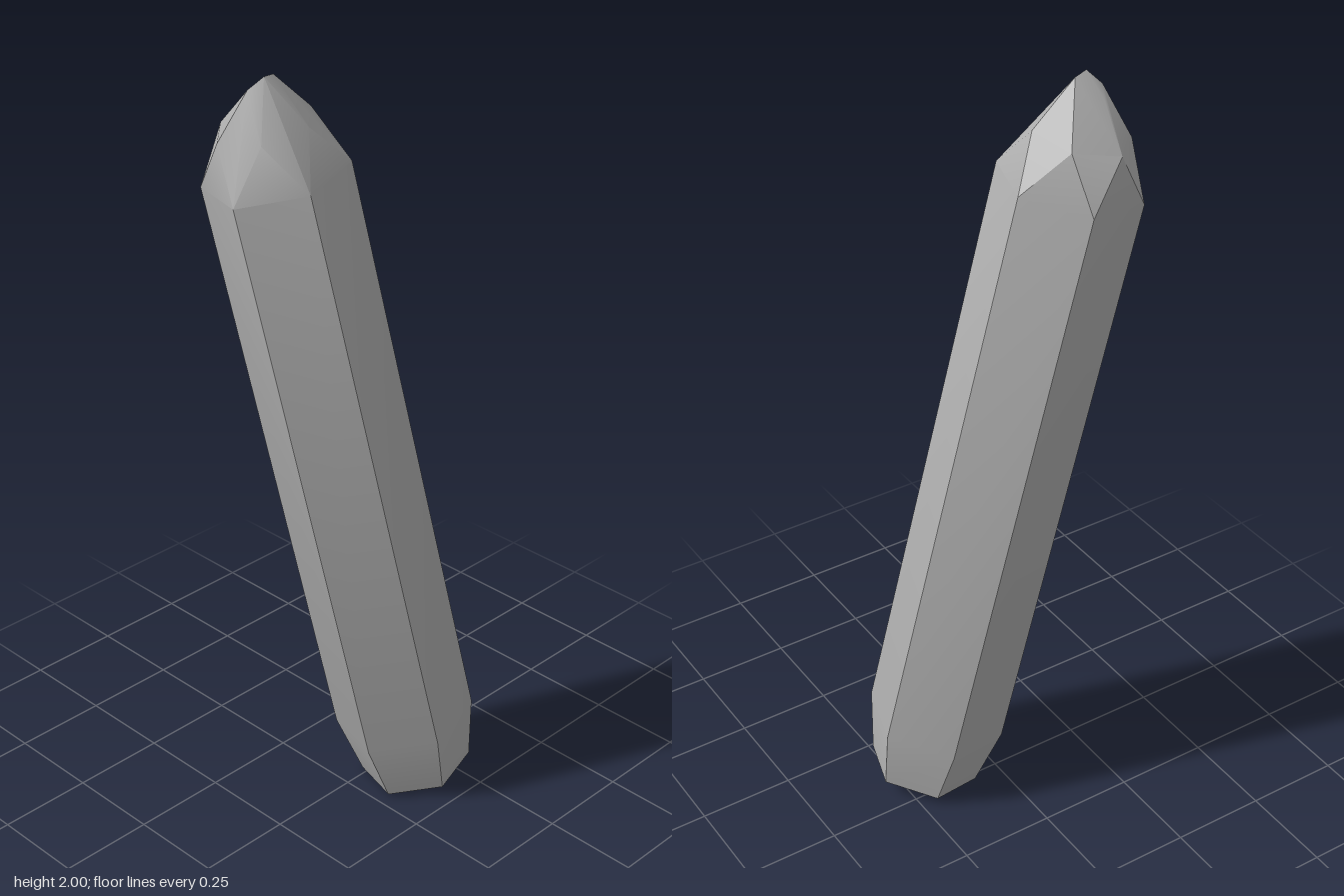
import * as THREE from 'three';
import { ConvexGeometry } from 'three/addons/geometries/ConvexGeometry.js';
import { toCreasedNormals } from 'three/addons/utils/BufferGeometryUtils.js';

// Lean of the crystal's axis: sideways shift per unit of height
const LEAN_X = -0.096, LEAN_Z = 0.188;

// Six corners around the leaning axis, in a plane square to it
function hexRing(y, radius, phaseDegrees) {
  const cx = 0.088 + LEAN_X * y;
  const cz = -0.178 + LEAN_Z * y;
  return Array.from({ length: 6 }, (_, i) => {
    const a = THREE.MathUtils.degToRad(phaseDegrees + i * 60);
    const dx = radius * Math.cos(a), dz = radius * Math.sin(a);
    return new THREE.Vector3(cx + dx, y - LEAN_X * dx - LEAN_Z * dz, cz + dz);
  });
}

export function createModel() {
  const group = new THREE.Group();
  group.name = 'crystal';
  const stone = new THREE.MeshStandardMaterial({ color: 0xb0b0b0 });
  stone.name = 'grey stone';

  // Off-centre ridge that closes the point
  const tip = [
    [-0.09, 1.963, 0.158],
    [-0.06, 1.995, 0.173],
    [-0.05, 2.0, 0.21],
    [-0.075, 1.97, 0.237],
    [-0.11, 1.944, 0.22],
  ].map((p) => new THREE.Vector3(...p));

  const points = [
    ...hexRing(0.03, 0.142, 17),   // flat foot
    ...hexRing(0.2, 0.178, 17),    // end of the foot bevel
    ...hexRing(1.75, 0.172, 17),   // shoulder
    ...hexRing(1.87, 0.118, 46.5), // facet corners, turned half a side
    ...tip,
  ];

  // Facets meet sharply, gentle bends stay smooth
  const geometry = toCreasedNormals(new ConvexGeometry(points), 0.53);
  const shard = new THREE.Mesh(geometry, stone);
  shard.name = 'crystalShard';
  group.add(shard);
  return group;
}
